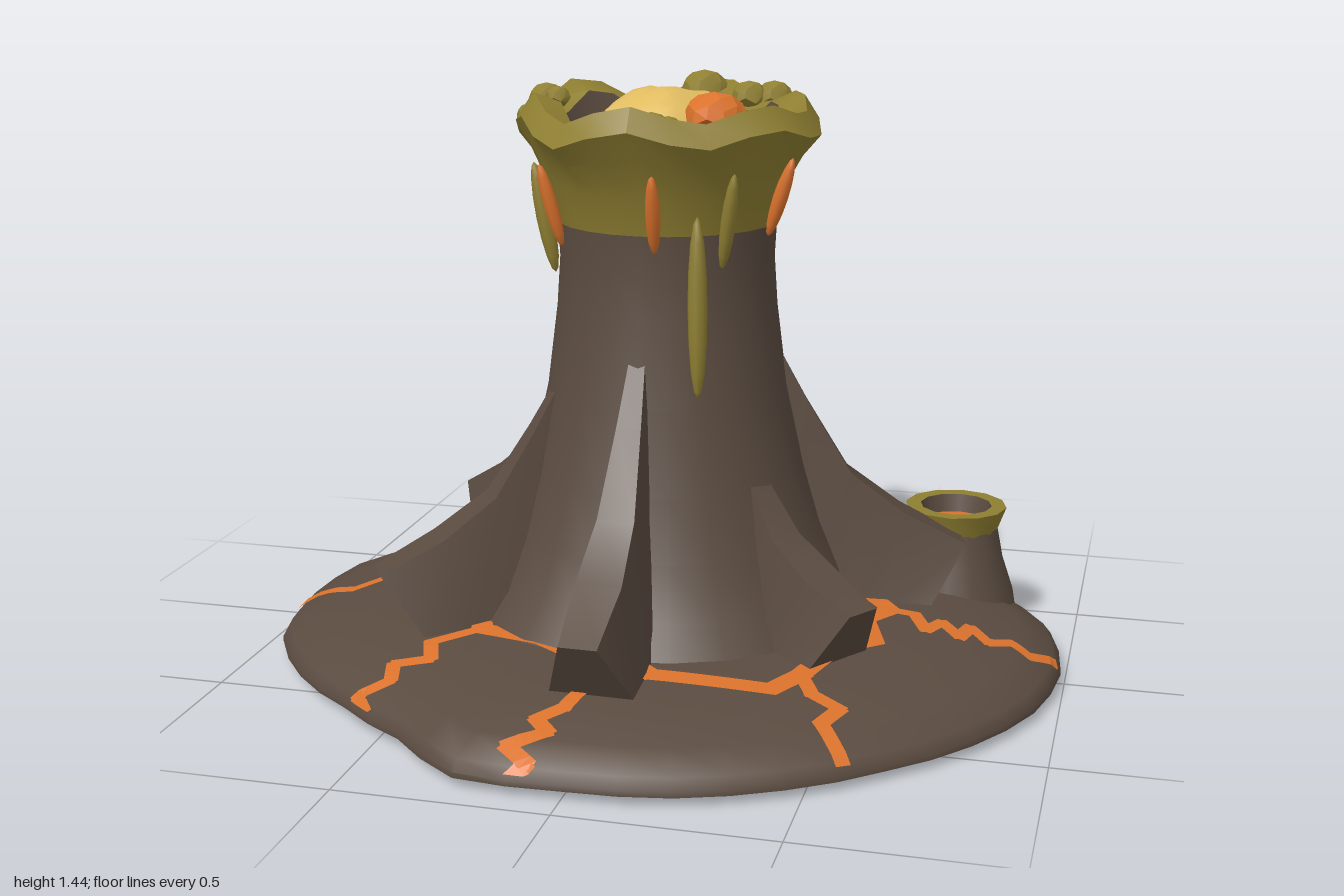
import * as THREE from 'three';
import { toCreasedNormals } from 'three/addons/utils/BufferGeometryUtils.js';

const mat = (name, color, side = THREE.FrontSide) => {
  const m = new THREE.MeshStandardMaterial({ color, side });
  m.name = name;
  return m;
};

// Linear interpolation through [key, value] pairs
function interp(table, k) {
  for (let i = 1; i < table.length; i++) {
    const [k0, v0] = table[i - 1], [k1, v1] = table[i];
    if (k <= k1) return v0 + (v1 - v0) * Math.max(0, (k - k0) / (k1 - k0));
  }
  return table[table.length - 1][1];
}

// Radius of the ground slab every 15 degrees, from +x towards +z
const slabRadii = [0.99, 0.98, 0.955, 0.93, 0.93, 0.935, 0.93, 0.955, 0.875, 0.88, 0.93, 0.98,
  0.99, 1.0, 0.965, 0.94, 0.935, 0.955, 0.96, 0.955, 0.93, 0.89, 0.93, 0.98];
function slabRadius(x, z) {
  const a = (Math.atan2(z, x) / (Math.PI * 2) + 1) * 24, i = Math.floor(a), f = a - i;
  return slabRadii[i % 24] * (1 - f) + slabRadii[(i + 1) % 24] * f;
}
const slabTop = [[0, 0.16], [0.55, 0.15], [0.75, 0.13], [0.9, 0.095], [0.98, 0.06], [1, 0.035]];

// Trunk radius by height
const trunkProfile = [[0.02, 0.56], [0.14, 0.5], [0.22, 0.44], [0.35, 0.385], [0.5, 0.34], [0.7, 0.295],
  [0.9, 0.27], [1.02, 0.262], [1.11, 0.267], [1.2, 0.29], [1.28, 0.33], [1.34, 0.37]];

const cracks = [
  [[-0.98, 0.11], [-0.93, 0.06], [-0.82, 0.09], [-0.74, 0.02], [-0.67, 0.05], [-0.54, -0.02], [-0.45, 0.03]],
  [[0.98, 0.01], [0.92, 0.06], [0.87, 0.03], [0.82, 0.07], [0.77, 0.01], [0.75, 0.09], [0.7, 0.02],
    [0.67, 0.09], [0.63, 0], [0.57, 0]],
  [[-0.37, 0.37], [-0.47, 0.45], [-0.44, 0.53], [-0.53, 0.54], [-0.51, 0.61], [-0.59, 0.64], [-0.55, 0.69]],
  [[0.43, 0.45], [0.47, 0.53], [0.54, 0.56], [0.51, 0.63], [0.57, 0.71]],
  [[-0.1, 0.49], [-0.02, 0.6], [-0.05, 0.73], [-0.1, 0.78], [-0.06, 0.82], [-0.14, 0.87], [-0.08, 0.91], [-0.12, 0.95]],
  [[0.28, -0.47], [0.35, -0.71], [0.41, -0.75], [0.36, -0.83], [0.43, -0.83]],
  [[-0.67, -0.64], [-0.6, -0.58], [-0.54, -0.53], [-0.46, -0.49], [-0.35, -0.4], [-0.3, -0.3]],
  // ring around the foot
  [[0.57, 0], [0.52, 0.09], [0.56, 0.21], [0.48, 0.29], [0.43, 0.45], [0.38, 0.54], [0.1, 0.55], [0.05, 0.51],
    [-0.1, 0.49], [-0.2, 0.42], [-0.37, 0.37], [-0.41, 0.2], [-0.45, 0.03], [-0.42, -0.15], [-0.3, -0.3],
    [-0.1, -0.44], [0.18, -0.48], [0.28, -0.47], [0.38, -0.26], [0.57, 0]],
];

// Crack ribbons draped over the top or the underside of the slab
function crackGeometry(under) {
  const pos = [], steps = 5;
  const drape = (x, z) => {
    const R = slabRadius(x, z), r = Math.hypot(x, z), s = r > R * 0.995 ? (R * 0.995) / r : 1;
    const y = under ? (r < 0.6 ? 0 : 0.015) : interp(slabTop, (r * s) / R) + 0.006;
    return [x * s, y, z * s];
  };
  cracks.forEach((path, n) => {
    const w = n > 4 ? 0.026 : 0.018;
    for (let i = 1; i < path.length; i++) {
      const [ax, az] = path[i - 1], [bx, bz] = path[i];
      const len = Math.hypot(bx - ax, bz - az), dx = (bx - ax) / len, dz = (bz - az) / len;
      const at = (k, side) => {
        const d = -w * 0.6 + (len + w * 1.2) * (k / steps);
        return drape(ax + dx * d - dz * w * side, az + dz * d + dx * w * side);
      };
      for (let k = 0; k < steps; k++) {
        const a = at(k, -1), b = at(k, 1), c = at(k + 1, -1), d = at(k + 1, 1);
        pos.push(...(under ? [a, c, b, b, c, d] : [a, b, c, b, d, c]).flat());
      }
    }
  });
  const g = new THREE.BufferGeometry();
  g.setAttribute('position', new THREE.Float32BufferAttribute(pos, 3));
  g.computeVertexNormals();
  return g;
}

// Root fin along +z: stations of [reach, ridge height, ridge half width, foot reach, foot half width]
function rootGeometry(reach, top) {
  const st = [[0.22, 0.92, 0.012, 0.22, 0.05], [0.35, 0.67, 0.03, 0.35, 0.08], [0.46, 0.48, 0.045, 0.45, 0.09],
    [0.6, 0.37, 0.055, 0.55, 0.1], [0.76, 0.28, 0.045, 0.66, 0.1]];
  const loops = st.map(([r, y, h, fr, fh]) => {
    const k = (v) => 0.22 + (v - 0.22) * reach;
    const yy = 0.28 + (y - 0.28) * top;
    return [[-fh, 0.13, k(fr)], [-h, yy, k(r)], [h, yy, k(r)], [fh, 0.13, k(fr)]];
  });
  const pos = [], quad = (a, b, c, d) => pos.push(...a, ...b, ...c, ...a, ...c, ...d);
  for (let i = 1; i < loops.length; i++) {
    const A = loops[i - 1], B = loops[i];
    for (let j = 0; j < 4; j++) quad(A[j], B[j], B[(j + 1) % 4], A[(j + 1) % 4]);
  }
  const E = loops[loops.length - 1];
  quad(E[0], E[3], E[2], E[1]);
  const g = new THREE.BufferGeometry();
  g.setAttribute('position', new THREE.Float32BufferAttribute(pos, 3));
  return toCreasedNormals(g, 0.45);
}

const lathe = (pts, seg) => new THREE.LatheGeometry(pts.map(([r, y]) => new THREE.Vector2(r, y)), seg);

function moveVertices(g, rule) {
  const p = g.attributes.position, v = new THREE.Vector3();
  for (let i = 0; i < p.count; i++) {
    rule(v.fromBufferAttribute(p, i));
    p.setXYZ(i, v.x, v.y, v.z);
  }
  return g;
}

// Lumpy ball, bumped by a fixed wave
const lumpGeometry = (detail, bump, crease) => toCreasedNormals(moveVertices(
  new THREE.IcosahedronGeometry(1, detail),
  (v) => v.multiplyScalar(1 + bump * Math.sin(v.x * 7 + 1) * Math.cos(v.z * 6 + v.y * 5))), crease);

export function createModel() {
  const group = new THREE.Group();
  const rock = mat('rock brown', 0x5a4b40);
  const crust = mat('sulphur olive', 0x8f7f32);
  const lava = mat('lava orange', 0xdb722c);
  const glow = mat('hot yellow', 0xe0bb60);
  const add = (name, g, m, x = 0, y = 0, z = 0) => {
    const mesh = new THREE.Mesh(g, m);
    mesh.name = name;
    mesh.position.set(x, y, z);
    group.add(mesh);
    return mesh;
  };

  // Ground slab and the plate beneath it
  const slab = lathe([[0, 0.02], [0.6, 0.02], [1, 0.022], ...slabTop.map(([t, y]) => [t, y]).reverse()], 48);
  moveVertices(slab, (v) => {
    const R = slabRadius(v.x, v.z);
    v.x *= R;
    v.z *= R;
  });
  add('groundSlab', toCreasedNormals(slab, 0.7), rock);
  add('footPlate', new THREE.CylinderGeometry(0.59, 0.59, 0.03, 32), rock, 0.02, 0.019, -0.01);
  add('lavaCracks', crackGeometry(false), lava);
  add('lavaCracksBelow', crackGeometry(true), lava);

  // Trunk of the volcano
  const split = trunkProfile.findIndex(([y]) => y === 1.11);
  add('trunk', lathe(trunkProfile.slice(0, split + 1).map(([y, r]) => [r, y]), 24), rock);

  // Jagged crater rim
  const jag = (v) => {
    const a = Math.atan2(v.x, v.z), k = Math.max(0, Math.min(1, (v.y - 1.24) / 0.1));
    v.y += k * (0.026 * Math.cos(6 * a + 0.5) + 0.008 * Math.sin(5 * a));
    const s = 1 + k * 0.03 * Math.cos(4 * a + 1);
    v.x *= s;
    v.z *= s;
  };
  const rim = [...trunkProfile.slice(split).map(([y, r]) => [r, y]), [0.335, 1.395], [0.27, 1.37]];
  add('craterRim', toCreasedNormals(moveVertices(lathe(rim, 24), jag), 0.5), crust);
  add('craterWall', moveVertices(lathe([[0.27, 1.37], [0.235, 1.29]], 24), jag), rock);
  add('lavaPool', lathe([[0.25, 1.31], [0.19, 1.265], [0, 1.265]], 20), lava);

  // Bubbling lava
  add('hotLava', lumpGeometry(4, 0.07, 0.7), glow, -0.01, 1.29, -0.03).scale.set(0.19, 0.135, 0.18);
  add('lavaChunk', lumpGeometry(1, 0.1, 0.2), lava, 0.13, 1.37, 0.06).scale.set(0.075, 0.055, 0.075);

  // Crust lumps on the rim: x, y, z, size
  const nugget = lumpGeometry(1, 0.12, 0.3);
  [[0.02, 1.39, -0.3, 0.06], [0.1, 1.35, -0.33, 0.05], [0.14, 1.38, -0.28, 0.045], [0.2, 1.38, -0.3, 0.045],
    [0.05, 1.3, -0.34, 0.045], [-0.01, 1.4, -0.36, 0.035], [-0.31, 1.39, -0.02, 0.045], [-0.27, 1.4, 0.02, 0.03],
    [-0.33, 1.36, 0.06, 0.03], [0.03, 1.36, 0.27, 0.045], [0.06, 1.36, 0.23, 0.03]]
    .forEach(([x, y, z, s]) => add('crustLump', nugget, crust, x, y, z).scale.set(s, s * 0.85, s));

  // Drips down the neck: material, direction x and z, top, bottom, half width
  const bead = new THREE.SphereGeometry(1, 8, 8), up = new THREE.Vector3(0, 1, 0);
  [[lava, 0.04, 0.29, 1.26, 1.07, 0.018], [lava, 0.31, 0.085, 1.28, 1.09, 0.018], [lava, -0.24, 0.18, 1.26, 1.06, 0.018],
    [crust, 0.125, 0.235, 1.16, 0.73, 0.024], [crust, 0.2, 0.22, 1.26, 1.03, 0.018], [crust, -0.26, 0.08, 1.25, 0.98, 0.022],
    [crust, 0.06, -0.28, 1.25, 0.9, 0.022], [crust, -0.2, -0.2, 1.25, 1.0, 0.02]]
    .forEach(([m, x, z, top, bottom, w]) => {
      const a = Math.atan2(x, z);
      const at = (y) => {
        const r = interp(trunkProfile, y) + 0.008;
        return new THREE.Vector3(Math.sin(a) * r, y, Math.cos(a) * r);
      };
      const p = at(top), q = at(bottom), d = p.clone().sub(q);
      const mesh = add(m === lava ? 'lavaDrip' : 'crustDrip', bead, m);
      mesh.position.copy(p).add(q).multiplyScalar(0.5);
      mesh.quaternion.setFromUnitVectors(up, d.clone().normalize());
      mesh.scale.set(w, d.length() / 2, w);
    });

  // Buttress roots: tip x and z, ridge height factor
  [[0.02, -0.77, 1], [-0.65, -0.43, 1], [-0.63, 0.38, 0.85], [-0.01, 0.76, 1], [0.56, 0.38, 0.6], [0.72, -0.22, 0.95]]
    .forEach(([x, z, top]) => {
      const reach = (Math.hypot(x, z) - 0.22) / 0.54;
      add('buttressRoot', rootGeometry(reach, top), rock).rotation.y = Math.atan2(x, z);
    });

  // Small side vent
  const vx = 0.685, vz = -0.35;
  add('ventCone', lathe([[0.165, 0.04], [0.155, 0.1], [0.125, 0.19], [0.108, 0.275]], 14), rock, vx, 0, vz);
  add('ventRim', toCreasedNormals(lathe([[0.108, 0.27], [0.13, 0.33], [0.092, 0.33]], 12), 0.5), crust, vx, 0, vz);
  add('ventWall', lathe([[0.092, 0.33], [0.08, 0.28]], 12), rock, vx, 0, vz);
  add('ventLava', lathe([[0.085, 0.285], [0, 0.285]], 12), lava, vx, 0, vz);
  return group;
}
